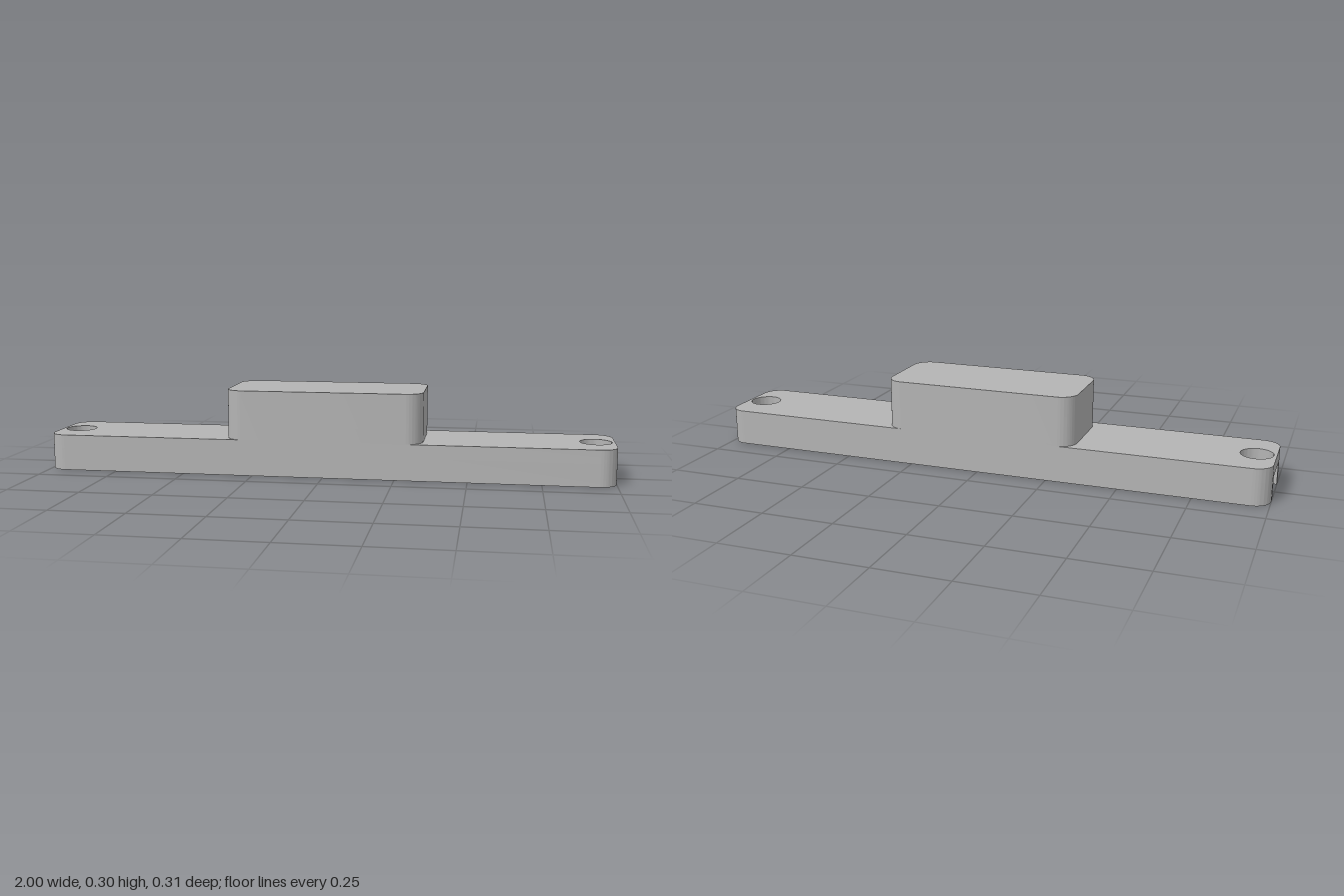
import * as THREE from 'three';
import { toCreasedNormals } from 'three/addons/utils/BufferGeometryUtils.js';

const HALF_WIDTH = 0.156, CORNER = 0.06;
const HOLE_X = 0.935, HOLE_R = 0.055, BORE_R = 0.096;
const BORE_TOP = 0.08, PLATE_TOP = 0.127, BLOCK_TOP = 0.3;

// Rounded rectangle; with notches, the counterbores break through both ends
function outline(halfLength, notched) {
  const shape = new THREE.Shape();
  const cx = halfLength - CORNER, cy = HALF_WIDTH - CORNER;
  const a = Math.acos((halfLength - HOLE_X) / BORE_R);
  shape.moveTo(-cx, -HALF_WIDTH);
  shape.lineTo(cx, -HALF_WIDTH);
  shape.absarc(cx, -cy, CORNER, -Math.PI / 2, 0, false);
  if (notched) shape.absarc(HOLE_X, 0, BORE_R, -a, a, true);
  shape.lineTo(halfLength, cy);
  shape.absarc(cx, cy, CORNER, 0, Math.PI / 2, false);
  shape.lineTo(-cx, HALF_WIDTH);
  shape.absarc(-cx, cy, CORNER, Math.PI / 2, Math.PI, false);
  if (notched) shape.absarc(-HOLE_X, 0, BORE_R, Math.PI - a, Math.PI + a, true);
  shape.lineTo(-halfLength, -cy);
  shape.absarc(-cx, -cy, CORNER, Math.PI, Math.PI * 1.5, false);
  return shape;
}

// Upright slab between two heights, with smooth corners and sharp rims
function slab(name, shape, bottom, top, material) {
  const geometry = new THREE.ExtrudeGeometry(shape, {
    depth: top - bottom, bevelEnabled: false, curveSegments: 24,
  });
  geometry.rotateX(-Math.PI / 2);
  geometry.translate(0, bottom, 0);
  const mesh = new THREE.Mesh(toCreasedNormals(geometry, Math.PI / 6), material);
  mesh.name = name;
  return mesh;
}

export function createModel() {
  const group = new THREE.Group();
  group.name = 'mountingBracket';
  const grey = new THREE.MeshStandardMaterial({ color: 0xb4b4b4 });
  grey.name = 'grey';

  // Upper plate layer with a screw hole at each end
  const plate = outline(1, false);
  for (const side of [-1, 1]) {
    const hole = new THREE.Path();
    hole.absarc(side * HOLE_X, 0, HOLE_R, 0, Math.PI * 2, true);
    plate.holes.push(hole);
  }

  group.add(
    slab('counterboredBase', outline(1, true), 0, BORE_TOP, grey),
    slab('drilledPlate', plate, BORE_TOP, PLATE_TOP, grey),
    slab('raisedBlock', outline(0.345, false), PLATE_TOP, BLOCK_TOP, grey),
  );
  return group;
}
